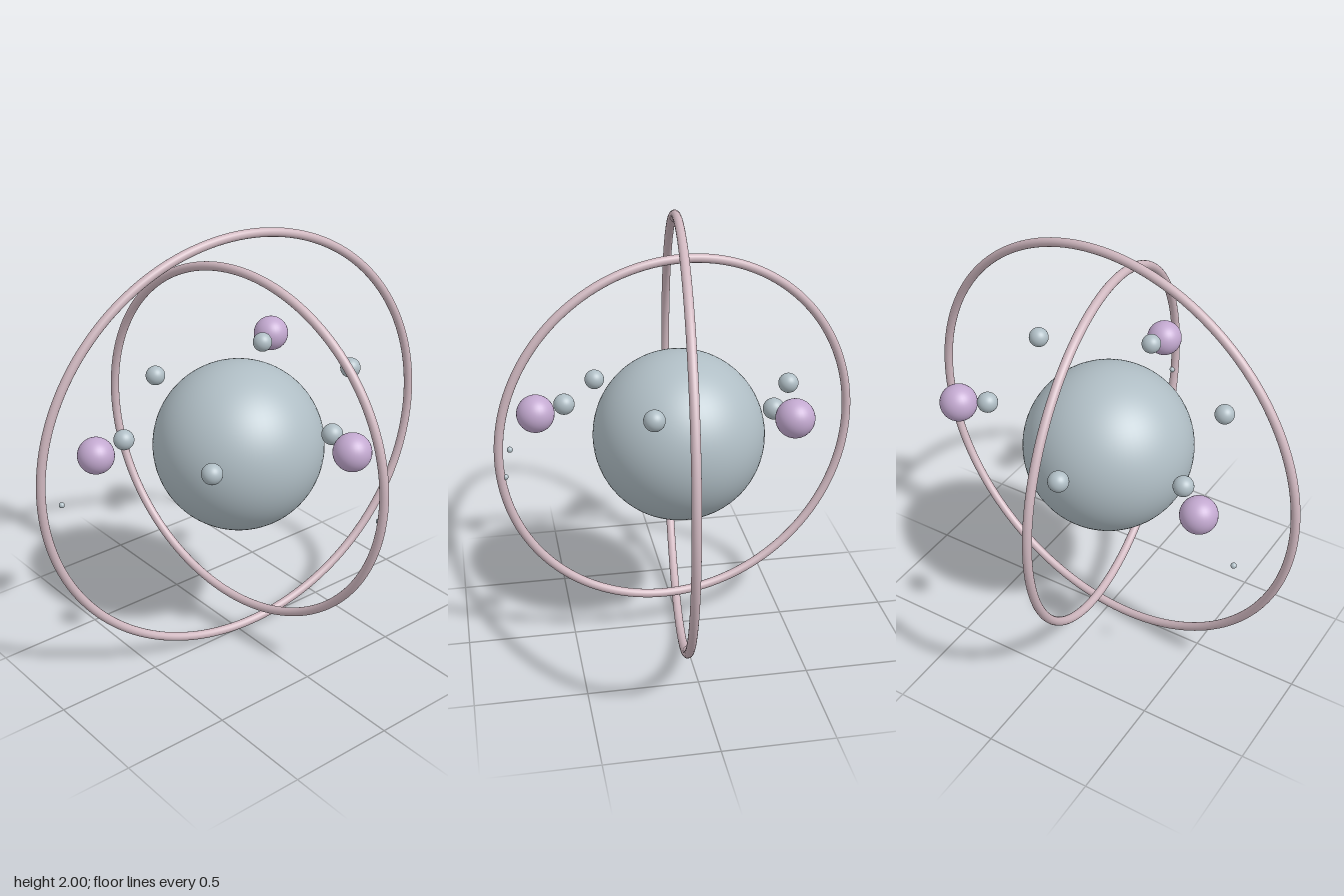
import * as THREE from 'three';

const slate = new THREE.MeshStandardMaterial({ name: 'blue grey', color: 0xb0bec5 });
const lilac = new THREE.MeshStandardMaterial({ name: 'lilac', color: 0xc3a9d0 });
const rose = new THREE.MeshStandardMaterial({ name: 'dusty rose', color: 0xd0b8c0 });

export function createModel() {
  const model = new THREE.Group();
  model.name = 'orbitModel';

  const add = (name, geometry, material, x, y, z) => {
    const mesh = new THREE.Mesh(geometry, material);
    mesh.name = name;
    mesh.position.set(x, y, z);
    model.add(mesh);
    return mesh;
  };

  // central globe
  add('globe', new THREE.SphereGeometry(0.388, 64, 48), slate, 0, 1, 0);

  // two upright rings, each turned about the vertical axis
  const ring = (name, radius, turn) => {
    const geometry = new THREE.TorusGeometry(radius, 0.02, 20, 160);
    add(name, geometry, rose, 0, 1, 0).rotation.y = turn;
  };
  ring('innerRing', 0.823, 0.138);
  ring('outerRing', 0.98, 1.464);

  // satellites of three sizes scattered around the globe
  const satellites = (name, radius, material, centres) => {
    const geometry = new THREE.SphereGeometry(radius, 32, 24);
    centres.forEach((c, i) => add(name + (i + 1), geometry, material, ...c));
  };
  satellites('largeMoon', 0.083, lilac, [
    [-0.395, 1.28, -0.523], [0.645, 1.19, -0.085], [-0.253, 1.037, 0.6],
  ]);
  satellites('smallMoon', 0.046, slate, [
    [-0.33, 1.282, -0.415], [-0.523, 1.18, 0.077], [-0.193, 1.103, 0.49],
    [0.33, 1.123, 0.41], [0.52, 1.225, -0.085], [0.19, 1.304, -0.497],
  ]);
  satellites('speck', 0.013, slate, [
    [0.766, 1.057, -0.147], [-0.265, 0.847, 0.782], [0.79, 0.912, -0.115],
  ]);

  return model;
}
